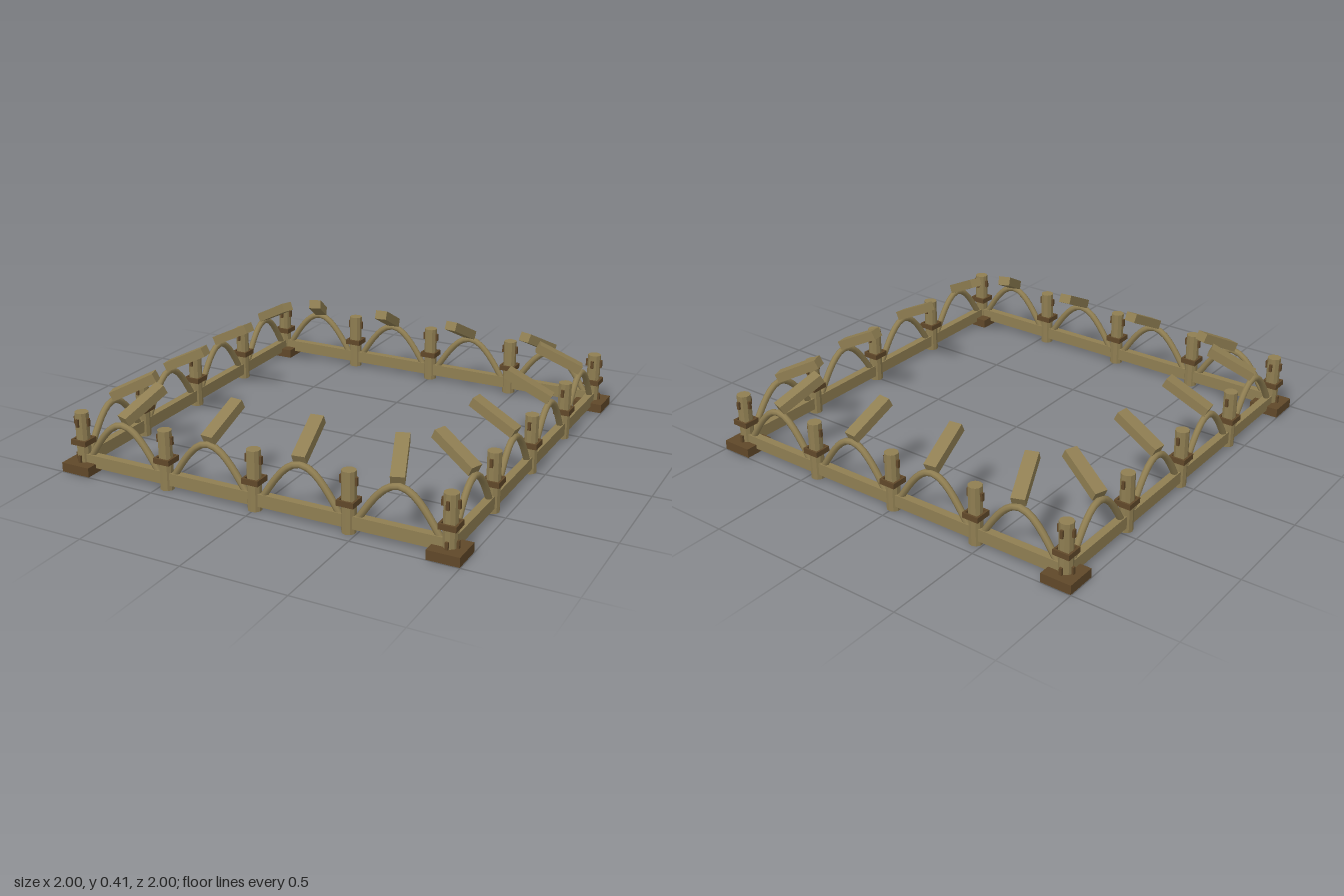
import * as THREE from 'three';

export function createModel() {
  const model = new THREE.Group();
  model.name = 'timberFrame';

  const wood = new THREE.MeshStandardMaterial({ color: 0x8f7e52, flatShading: true });
  wood.name = 'wood';
  const archWood = new THREE.MeshStandardMaterial({ color: 0x8f7e52 });
  archWood.name = 'bentWood';
  const darkWood = new THREE.MeshStandardMaterial({ color: 0x604829 });
  darkWood.name = 'darkWood';

  const EDGE = 0.923;         // distance of each side from the centre
  const STEP = EDGE / 2;      // spacing between posts

  const add = (parent, name, geometry, material, x = 0, y = 0, z = 0) => {
    const mesh = new THREE.Mesh(geometry, material);
    mesh.name = name;
    mesh.position.set(x, y, z);
    parent.add(mesh);
    return mesh;
  };

  // Shared geometries
  const postGeo = new THREE.CylinderGeometry(0.033, 0.033, 0.286, 10);
  const baseGeo = new THREE.BoxGeometry(0.15, 0.045, 0.15);
  const railGeo = new THREE.BoxGeometry(2 * EDGE, 0.06, 0.038);
  const barGeo = new THREE.BoxGeometry(0.082, 0.026, 0.01);
  const pegGeo = new THREE.BoxGeometry(0.084, 0.038, 0.014);
  const beamGeo = new THREE.BoxGeometry(0.062, 0.046, 0.24);

  // Arch between two posts: half a sine wave
  const archPoints = [];
  for (let i = 0; i <= 12; i++) {
    const t = i / 12;
    archPoints.push(new THREE.Vector3((t - 0.5) * 0.39, 0.06 + 0.2 * Math.sin(Math.PI * t), 0));
  }
  const archGeo = new THREE.TubeGeometry(new THREE.CatmullRomCurve3(archPoints), 16, 0.016, 8);

  // Post with a thin square collar and pegs through it
  const addPost = (parent, x, z, corner) => {
    const post = new THREE.Group();
    post.name = corner ? 'cornerPost' : 'middlePost';
    post.position.set(x, 0, z);
    parent.add(post);
    add(post, 'shaft', postGeo, wood, 0, 0.143, 0);
    for (let i = 0; i < 4; i++) {
      const a = (i * Math.PI) / 2;
      add(post, 'collarBar', barGeo, darkWood, 0.036 * Math.sin(a), 0.143, 0.036 * Math.cos(a)).rotation.y = a;
    }
    add(post, 'upperPeg', pegGeo, darkWood, 0, 0.24, 0);
    if (corner) {
      add(post, 'upperCrossPeg', pegGeo, darkWood, 0, 0.24, 0).rotation.y = Math.PI / 2;
      add(post, 'lowerPeg', pegGeo, darkWood, 0, 0.06, 0);
      add(post, 'lowerCrossPeg', pegGeo, darkWood, 0, 0.06, 0).rotation.y = Math.PI / 2;
      add(post, 'basePlate', baseGeo, darkWood, 0, 0.0225, 0);
    }
  };

  // Four identical sides, each turned a quarter
  for (let s = 0; s < 4; s++) {
    const side = new THREE.Group();
    side.name = 'side' + (s + 1);
    side.rotation.y = (s * Math.PI) / 2;
    model.add(side);

    add(side, 'rail', railGeo, wood, 0, 0.055, EDGE);
    for (let i = -2; i < 2; i++) addPost(side, i * STEP, EDGE, i === -2);

    for (const k of [-1.5, -0.5, 0.5, 1.5]) {
      add(side, 'arch', archGeo, archWood, k * STEP, 0, EDGE);
      // Rafter stub rising inward from the crown, fanned toward the middle
      const stub = add(side, 'rafter', beamGeo, wood, k * 0.432, 0.338, 0.823);
      stub.rotation.order = 'YXZ';
      stub.rotation.set(0.46, k * 0.23, 0);
    }
  }
  return model;
}
